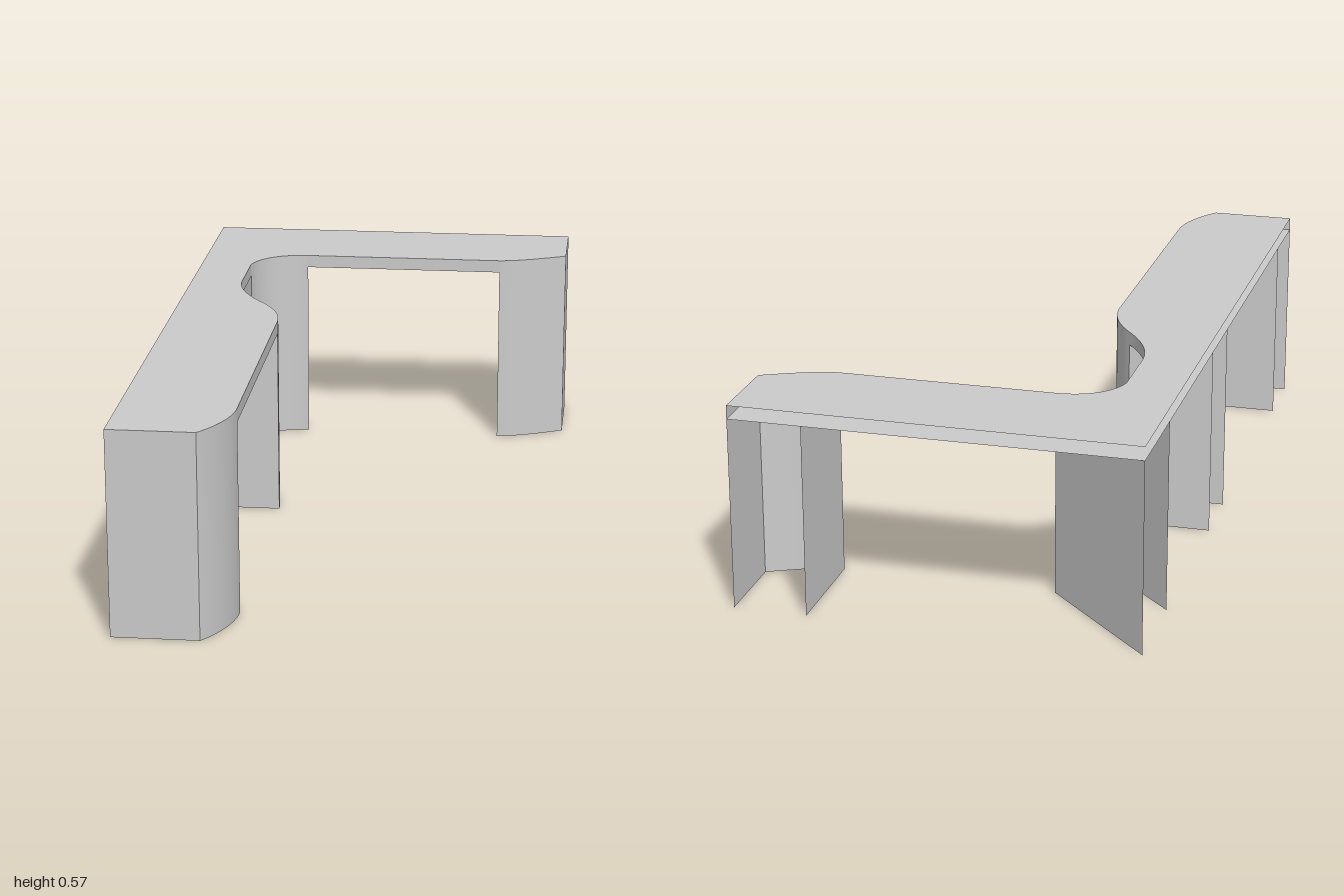
import * as THREE from 'three';
import { toCreasedNormals } from 'three/addons/utils/BufferGeometryUtils.js';

const TOP = 0.567, UNDER = 0.53;
const material = new THREE.MeshStandardMaterial({ color: 0xcccccc, side: THREE.DoubleSide });

// Points [x, z] along a Bezier curve
function bezier(a, b, c, d, steps = 14) {
  const v = (p) => new THREE.Vector2(p[0], p[1]);
  return new THREE.CubicBezierCurve(v(a), v(b), v(c), v(d)).getPoints(steps).map((p) => [p.x, p.y]);
}

// Upright sheet following a plan path, facing to the right of its direction
function wall(name, path, y0, y1) {
  const positions = [], index = [];
  path.forEach(([x, z], i) => {
    positions.push(x, y0, z, x, y1, z);
    if (i) {
      const a = 2 * i - 2;
      index.push(a, a + 2, a + 3, a, a + 3, a + 1);
    }
  });
  const geometry = new THREE.BufferGeometry();
  geometry.setAttribute('position', new THREE.Float32BufferAttribute(positions, 3));
  geometry.setIndex(index);
  geometry.computeVertexNormals();
  const mesh = new THREE.Mesh(toCreasedNormals(geometry, 0.5), material);
  mesh.name = name;
  return mesh;
}

// Horizontal sheet with the counter outline
function plate(name, outline, y) {
  const shape = new THREE.Shape(outline.map(([x, z]) => new THREE.Vector2(x, -z)));
  const mesh = new THREE.Mesh(new THREE.ShapeGeometry(shape).rotateX(-Math.PI / 2), material);
  mesh.position.y = y;
  mesh.name = name;
  return mesh;
}

function pedestal(name, face, panels) {
  const group = new THREE.Group();
  group.name = name;
  group.add(wall(name + 'Face', face, 0, TOP));
  panels.forEach((p) => group.add(wall(name + 'Panel', p, 0, UNDER)));
  return group;
}

export function createModel() {
  const model = new THREE.Group();
  model.name = 'counter';

  // Curved stretches of the inner edge, from the front end to the far wing
  const frontCurve = bezier([-0.315, 1], [-0.27, 0.945], [-0.24, 0.87], [-0.24, 0.8]);
  const middleCurve = bezier([-0.24, 0.02], [-0.24, -0.05], [-0.27, -0.12], [-0.315, -0.175]);
  const neckCurve = bezier([-0.315, -0.175], [-0.365, -0.24], [-0.4, -0.31], [-0.4, -0.39]);
  const cornerCurve = bezier([-0.4, -0.57], [-0.385, -0.64], [-0.325, -0.69], [-0.24, -0.69]);
  const wingCurve = bezier([0.35, -0.69], [0.41, -0.695], [0.48, -0.73], [0.55, -0.765]);

  // Full outline, shared by the worktop and its underside
  const outline = [[-0.55, 1], ...frontCurve, ...middleCurve, ...neckCurve.slice(1),
    ...cornerCurve, ...wingCurve, [0.55, -1], [-0.55, -1]];
  model.add(plate('worktop', outline, TOP), plate('underside', outline, UNDER));

  // Edge strips between the pedestals; the back is left open
  model.add(
    wall('frontEdge', [[-0.24, 0.8], [-0.24, 0.02]], UNDER, TOP),
    wall('neckEdge', [...neckCurve, [-0.4, -0.57]], UNDER, TOP),
    wall('wingEdge', [[-0.24, -0.69], [0.35, -0.69]], UNDER, TOP),
  );

  // Hollow pedestals, open at the back
  model.add(
    pedestal('frontPedestal', [[-0.55, 1], ...frontCurve], [[[-0.24, 0.8], [-0.55, 0.8]]]),
    pedestal('middlePedestal', middleCurve,
      [[[-0.55, 0.02], [-0.24, 0.02]], [[-0.315, -0.175], [-0.55, -0.175]]]),
    pedestal('cornerPedestal', cornerCurve,
      [[[-0.55, -0.72], [-0.4, -0.57]], [[-0.24, -0.69], [-0.55, -1]]]),
    pedestal('wingPedestal', [...wingCurve, [0.55, -1]], [[[0.35, -1], [0.35, -0.69]]]),
  );
  return model;
}
